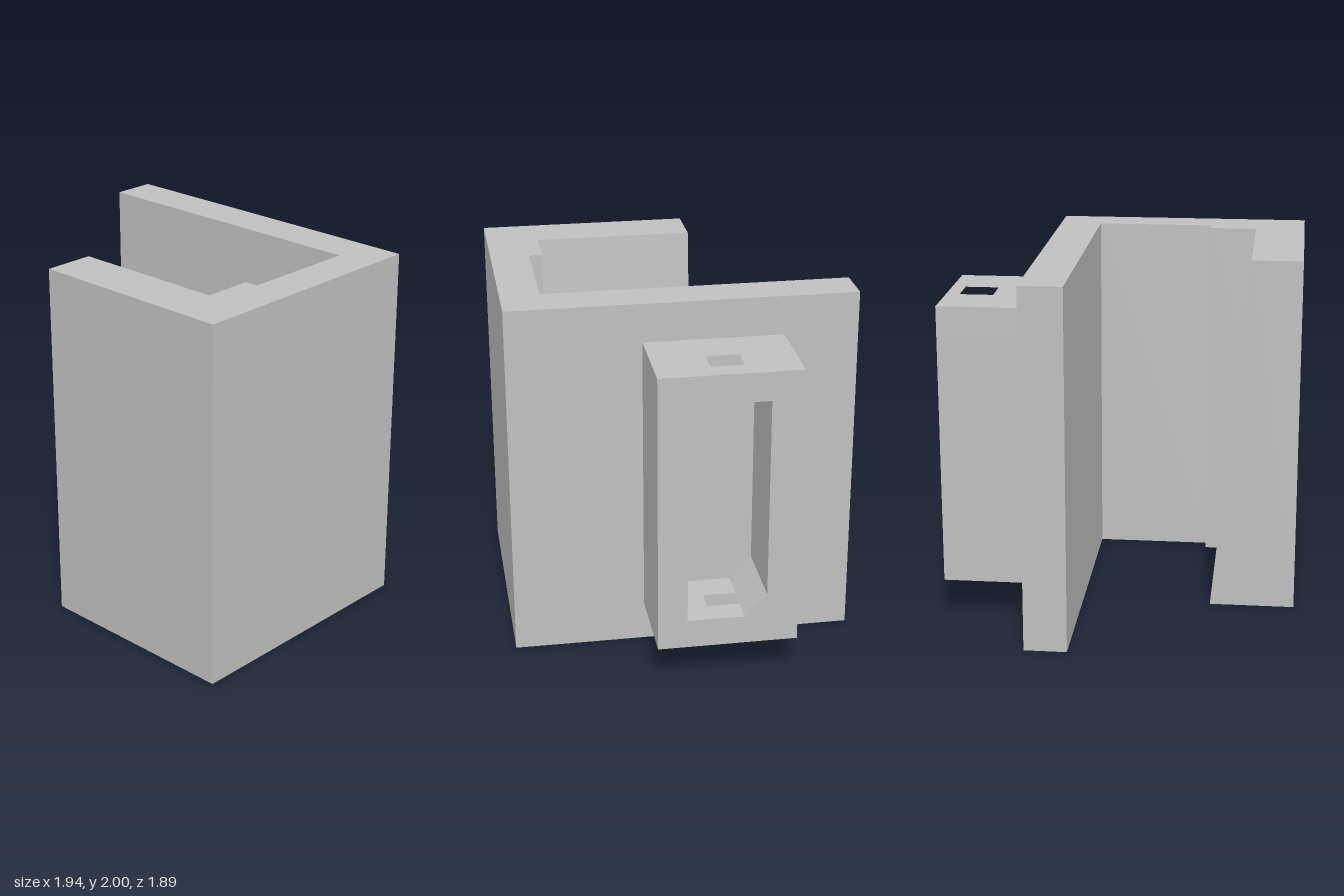
import * as THREE from 'three';

const vec = (pts) => pts.map(([x, y]) => new THREE.Vector2(x, y));
const rect = (x0, x1, z0, z1) => [[x0, z0], [x1, z0], [x1, z1], [x0, z1]];
const flipY = (pts) => pts.map(([x, z]) => [x, -z]);

function extrude(points, depth, hole) {
  const shape = new THREE.Shape(vec(points));
  if (hole) shape.holes.push(new THREE.Path(vec(hole)));
  return new THREE.ExtrudeGeometry(shape, { depth, bevelEnabled: false });
}

// Plan outline in (x, z), raised from y0 to y1
function extrudeUp(points, y0, y1, hole) {
  const g = extrude(flipY(points), y1 - y0, hole && flipY(hole));
  return g.rotateX(-Math.PI / 2).translate(0, y0, 0);
}

export function createModel() {
  const model = new THREE.Group();
  model.name = 'bracket';
  const grey = new THREE.MeshStandardMaterial({ color: 0xc0c0c0 });
  grey.name = 'grey';
  const add = (name, geometry, parent = model) => {
    const mesh = new THREE.Mesh(geometry, grey);
    mesh.name = name;
    parent.add(mesh);
  };

  // Front plate with its inner step, and the long side wall
  add('frame', extrudeUp([
    [-0.97, 0.945], [0.465, 0.945], [0.465, -0.945], [0.23, -0.945],
    [0.23, 0.73], [-0.42, 0.73], [-0.42, 0.655], [-0.97, 0.655],
  ], 0, 2));

  // Short arm, thicker towards the bottom
  add('taperedArm', extrude([[-0.97, 0], [-0.495, 0], [-0.69, 2], [-0.97, 2]], 0.875)
    .translate(0, 0, -0.22));

  // Side housing: two pierced caps around a C-shaped wall open to the side
  const housing = new THREE.Group();
  housing.name = 'housing';
  model.add(housing);
  const outline = rect(0.465, 0.97, -0.54, 0.22);
  add('housingFloor', extrudeUp(outline, 0.22, 0.38, rect(0.71, 0.83, -0.25, -0.07)), housing);
  add('housingCeiling', extrudeUp(outline, 1.625, 1.785, rect(0.71, 0.895, -0.25, -0.07)), housing);
  add('housingWalls', extrudeUp([
    [0.465, 0.22], [0.97, 0.22], [0.97, 0.06], [0.54, 0.06],
    [0.54, -0.37], [0.97, -0.37], [0.97, -0.54], [0.465, -0.54],
  ], 0.38, 1.625), housing);

  // Sloped fillet in the lower back corner of the cavity
  add('cavityChamfer', extrude([[0.37, 0.38], [0.25, 0.38], [0.37, 0.505]], 0.43)
    .rotateY(Math.PI / 2).translate(0.54, 0, 0), housing);

  return model;
}
